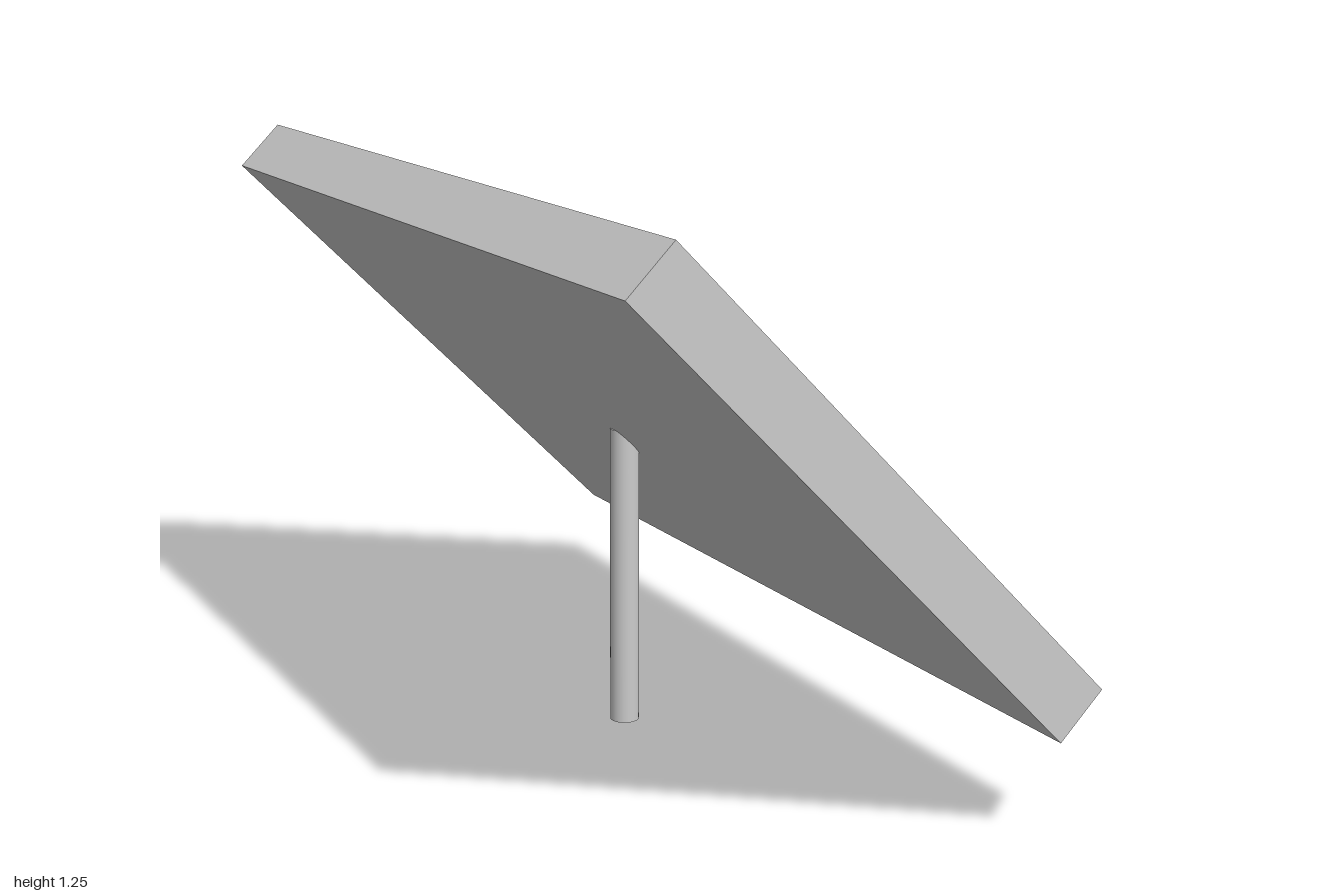
import * as THREE from 'three';

const LENGTH = 1.33, WIDTH = 2, THICK = 0.132; // tray along slope, across, thickness
const RIM_X = 0.057, RIM_Z = 0.085; // rim widths
const DEPTH = 0.057, INSET = 0.033; // recess floor and panel face below the rim

const material = new THREE.MeshStandardMaterial({ color: 0xcccccc });

function addMesh(parent, name, geometry, x = 0, y = 0, z = 0) {
  const mesh = new THREE.Mesh(geometry, material);
  mesh.name = name;
  mesh.position.set(x, y, z);
  parent.add(mesh);
  return mesh;
}

function rectangle(target, halfX, halfY) {
  target.moveTo(-halfX, -halfY);
  target.lineTo(halfX, -halfY);
  target.lineTo(halfX, halfY);
  target.lineTo(-halfX, halfY);
  target.closePath();
  return target;
}

export function createModel() {
  const model = new THREE.Group();
  model.name = 'tiltedPanelOnPole';

  // Upright pole, its top buried in the tray
  addMesh(model, 'pole', new THREE.CylinderGeometry(0.032, 0.032, 0.67, 32), 0, 0.335, 0);

  // Tray, built flat with its face up and then tilted towards +x
  const tray = new THREE.Group();
  tray.name = 'tray';
  tray.position.set(0, 0.735, 0);
  tray.rotation.z = -Math.PI / 4;
  model.add(tray);

  const top = THICK / 2, floor = top - DEPTH;
  const holeX = LENGTH / 2 - RIM_X, holeZ = WIDTH / 2 - RIM_Z;

  // Solid back of the tray
  addMesh(tray, 'trayBack', new THREE.BoxGeometry(LENGTH, THICK - DEPTH, WIDTH), 0, -DEPTH / 2, 0);

  // Raised rim around the recess
  const outline = rectangle(new THREE.Shape(), LENGTH / 2, WIDTH / 2);
  outline.holes.push(rectangle(new THREE.Path(), holeX, holeZ));
  const rim = new THREE.ExtrudeGeometry(outline, { depth: DEPTH, bevelEnabled: false });
  rim.rotateX(-Math.PI / 2);
  addMesh(tray, 'trayRim', rim, 0, floor, 0);

  // Panel in the recess, with narrow gaps at the upper end and the +z side
  const gapX = 0.034, gapZ = 0.012;
  const panel = new THREE.BoxGeometry(2 * holeX - gapX, DEPTH - INSET, 2 * holeZ - gapZ);
  addMesh(tray, 'panel', panel, gapX / 2, floor + (DEPTH - INSET) / 2, -gapZ / 2);

  return model;
}
